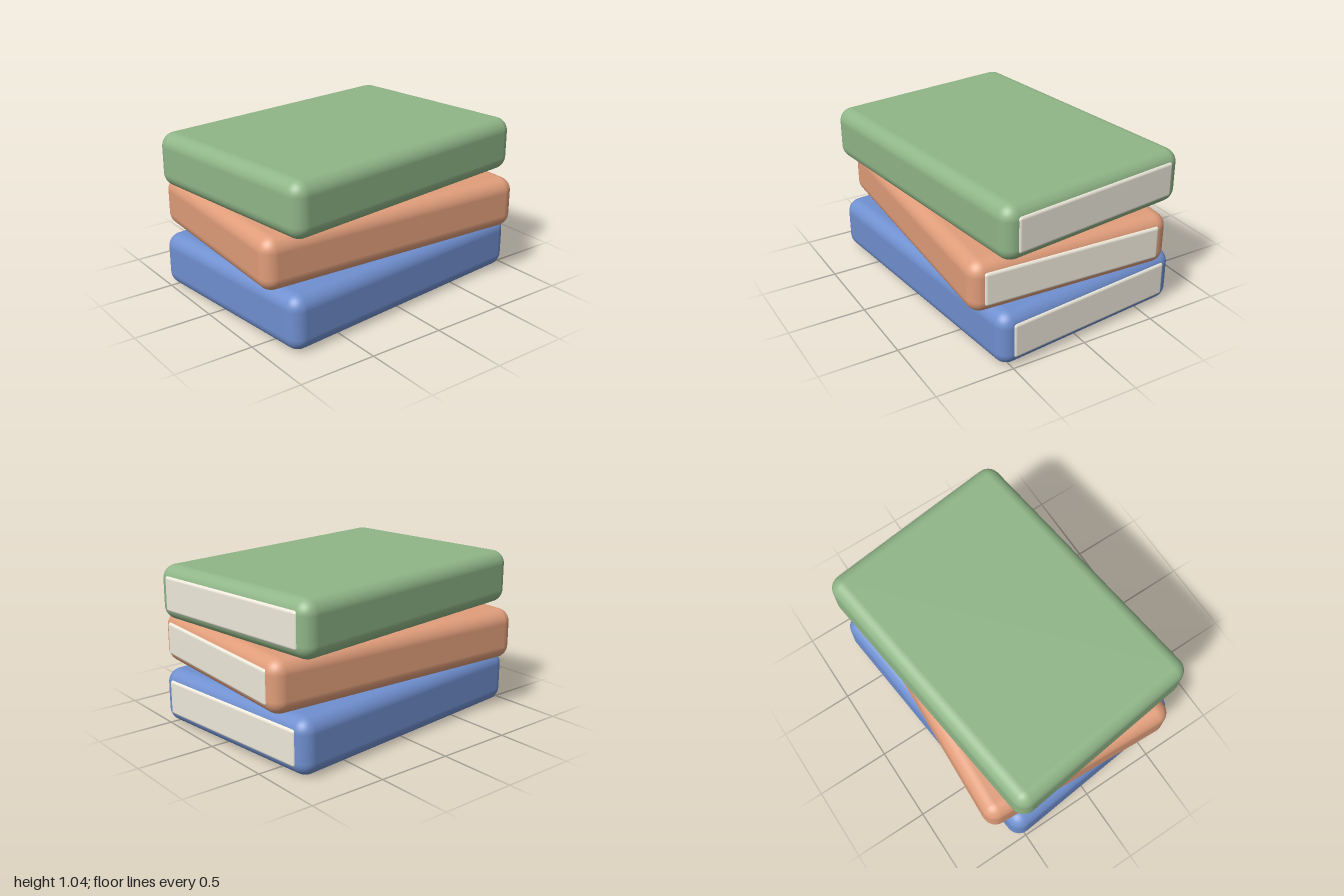
import * as THREE from 'three';
import { RoundedBoxGeometry } from 'three/addons/geometries/RoundedBoxGeometry.js';

const WIDTH = 1.875;
const DEPTH = 1.335;

// One closed book: rounded cover with a page block showing on its right end
function createBook(name, color, height, angle) {
  const book = new THREE.Group();
  book.name = name;

  const cover = new THREE.Mesh(
    new RoundedBoxGeometry(WIDTH, height, DEPTH, 5, 0.09),
    new THREE.MeshStandardMaterial({ color })
  );
  cover.name = name + 'Cover';

  const pageWidth = 0.5;
  const pages = new THREE.Mesh(
    new RoundedBoxGeometry(pageWidth, height * 0.65, DEPTH * 0.88, 4, 0.02),
    new THREE.MeshStandardMaterial({ color: 0xede8da })
  );
  pages.name = name + 'Pages';
  // page face stands slightly proud of the cover
  pages.position.x = WIDTH / 2 + 0.008 - pageWidth / 2;

  book.add(cover, pages);
  book.rotation.y = angle;
  return book;
}

export function createModel() {
  const stack = new THREE.Group();
  stack.name = 'bookStack';

  // Books from bottom to top, each turned a little
  const books = [
    ['bottomBook', 0x6f8fcf, 0.355, 0.1],
    ['middleBook', 0xe09d7a, 0.336, -0.05],
    ['topBook', 0x8fb587, 0.352, 0.118],
  ];
  let y = 0;
  for (const [name, color, height, angle] of books) {
    const book = createBook(name, color, height, angle);
    book.position.y = y + height / 2;
    y += height;
    stack.add(book);
  }
  return stack;
}
